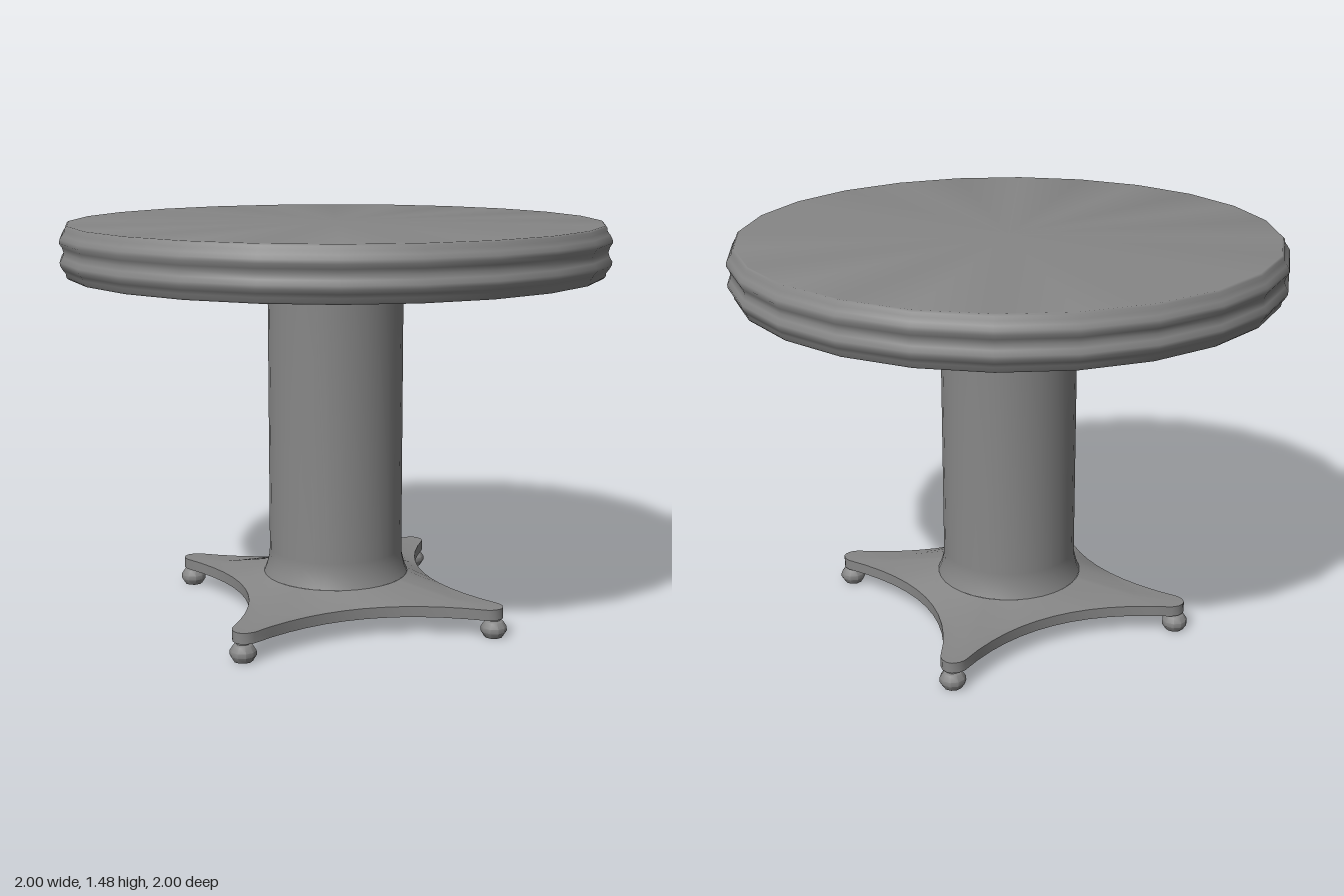
import * as THREE from 'three';
import { toCreasedNormals } from 'three/addons/utils/BufferGeometryUtils.js';

const material = new THREE.MeshStandardMaterial({ color: 0x868686, side: THREE.DoubleSide });

function addMesh(parent, name, geometry, crease = 0.9) {
  const mesh = new THREE.Mesh(toCreasedNormals(geometry, crease), material);
  mesh.name = name;
  parent.add(mesh);
  return mesh;
}

const lathe = (points, sides) =>
  new THREE.LatheGeometry(points.map(([r, y]) => new THREE.Vector2(r, y)), sides);

// Four-pointed outline: one concave side and one blunt tip, turned four times
function starOutline() {
  const side = [];
  for (let i = -6; i <= 6; i++) {
    const t = i / 6;
    side.push([0.355 + 0.14 * t * t, 0.43 * t]);
  }
  side.push([0.5, 0.455], [0.493, 0.48], [0.48, 0.493], [0.455, 0.5]);
  const outline = [];
  for (let q = 0; q < 4; q++) {
    const c = Math.round(Math.cos(q * Math.PI / 2));
    const s = Math.round(Math.sin(q * Math.PI / 2));
    for (const [x, z] of side) outline.push([c * x - s * z, s * x + c * z]);
  }
  return outline;
}

// Base shell: rings running from the column's foot down to the plate's lower edge
function baseGeometry() {
  const outline = starOutline();
  const n = outline.length;
  const positions = [];
  const index = [];
  for (const [x, z] of outline) {
    const r = Math.hypot(x, z);
    const inner = 0.272 / r;
    const slope = Math.min(0.99, 0.36 / Math.max(Math.abs(x), Math.abs(z)));
    const rings = [[inner, 0.155], [slope, 0.112], [1, 0.11], [1, 0.07]];
    for (const [k, y] of rings) positions.push(x * k, y, z * k);
  }
  for (let i = 0; i < n; i++) {
    for (let j = 0; j < 3; j++) {
      const a = i * 4 + j;
      const b = ((i + 1) % n) * 4 + j;
      index.push(a, b, a + 1, b, b + 1, a + 1);
    }
  }
  const geometry = new THREE.BufferGeometry();
  geometry.setAttribute('position', new THREE.Float32BufferAttribute(positions, 3));
  geometry.setIndex(index);
  return geometry;
}

export function createModel() {
  const table = new THREE.Group();
  table.name = 'pedestalTable';

  // Moulded round top with a recessed underside
  addMesh(table, 'tableTop', lathe([
    [0, 1.38], [0.96, 1.38], [0.96, 1.29], [0.972, 1.29], [0.978, 1.296], [0.98, 1.31],
    [0.99, 1.323], [0.998, 1.337], [1, 1.35], [0.99, 1.366], [0.985, 1.383], [0.99, 1.4],
    [1, 1.416], [0.998, 1.429], [0.99, 1.443], [0.98, 1.456], [0.978, 1.469],
    [0.972, 1.475], [0.968, 1.475], [0, 1.475],
  ], 24));

  // Collar joining column and top
  addMesh(table, 'collar', lathe([[0.25, 1.29], [0.33, 1.29], [0.33, 1.38]], 32));

  // Hollow column, flared at its foot
  addMesh(table, 'column', lathe([
    [0.272, 0.155], [0.262, 0.18], [0.252, 0.22], [0.25, 0.25], [0.25, 1.38],
  ], 32));

  addMesh(table, 'base', baseGeometry());

  // Bun feet under the tips
  const footProfile = [
    [0, 0], [0.034, 0], [0.048, 0.022], [0.047, 0.038], [0.034, 0.058],
    [0.024, 0.062], [0.024, 0.11],
  ];
  for (const x of [-0.464, 0.464]) {
    for (const z of [-0.464, 0.464]) {
      addMesh(table, 'foot', lathe(footProfile, 10), 0.7).position.set(x, 0, z);
    }
  }
  return table;
}
